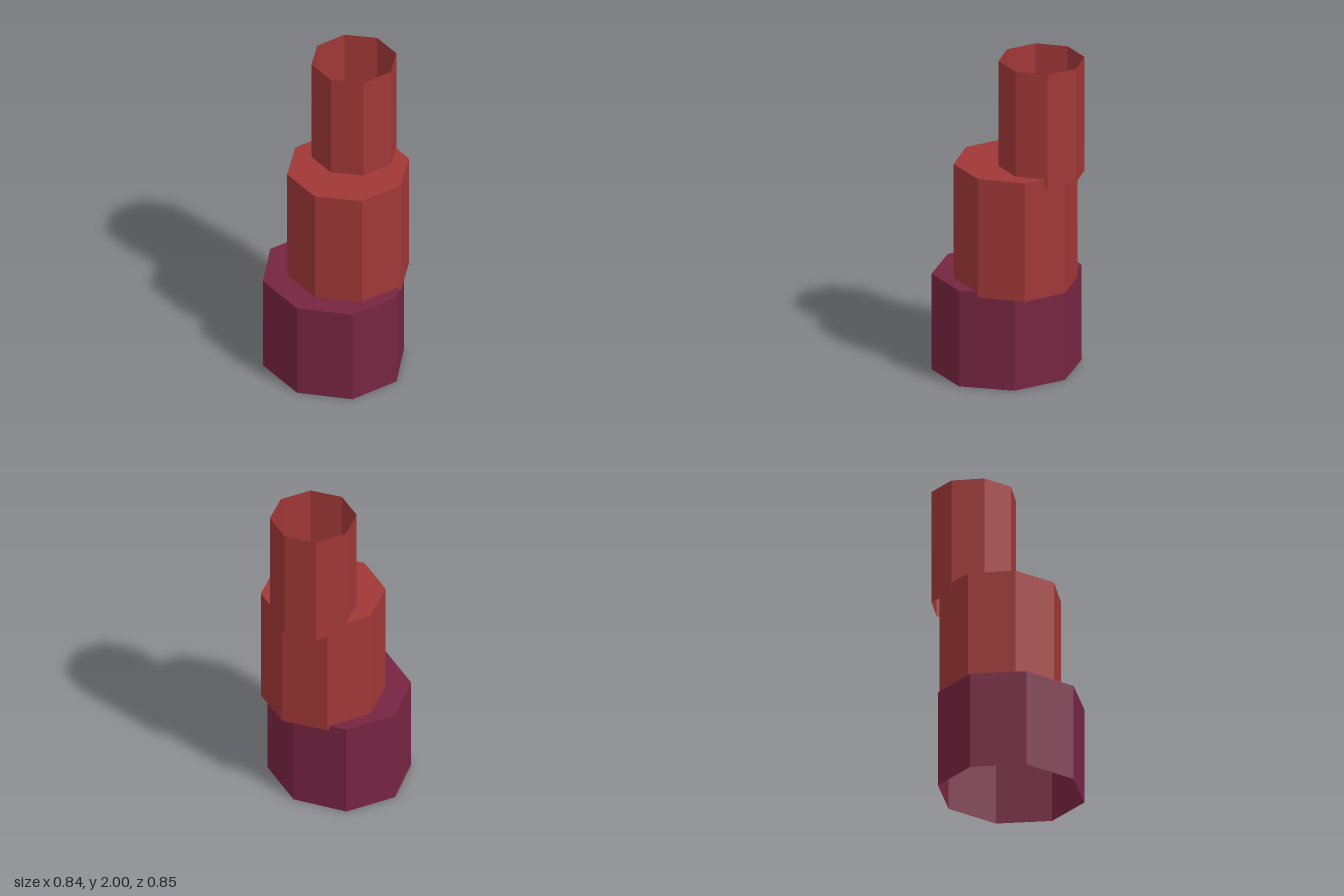
import * as THREE from 'three';

const red = new THREE.MeshStandardMaterial({ name: 'brick red', color: 0xa03737, flatShading: true, side: THREE.DoubleSide });
const plum = new THREE.MeshStandardMaterial({ name: 'dark plum', color: 0x762541, flatShading: true, side: THREE.DoubleSide });

// Octagonal tier with an open bottom and an optional lid; hx and hz are half widths across the flats
function tier(name, material, { x = 0, z, hx, hz, y0, y1, lid }) {
  const group = new THREE.Group();
  group.name = name;
  const k = 1 / Math.cos(Math.PI / 8);

  const wallGeometry = new THREE.CylinderGeometry(1, 1, y1 - y0, 8, 1, true);
  wallGeometry.rotateY(Math.PI / 8).scale(hx * k, 1, hz * k);
  const wall = new THREE.Mesh(wallGeometry, material);
  wall.name = name + 'Wall';
  wall.position.y = (y0 + y1) / 2;
  group.add(wall);

  if (lid) {
    const lidGeometry = new THREE.CircleGeometry(1, 8, Math.PI / 8);
    lidGeometry.rotateX(-Math.PI / 2).scale(hx * k, 1, hz * k);
    const top = new THREE.Mesh(lidGeometry, material);
    top.name = name + 'Lid';
    top.position.y = y1;
    group.add(top);
  }
  group.position.set(x, 0, z);
  return group;
}

export function createModel() {
  const model = new THREE.Group();
  model.name = 'steppedTower';
  model.add(
    tier('base', plum, { z: 0.038, hx: 0.42, hz: 0.388, y0: 0, y1: 0.608, lid: true }),
    tier('middle', red, { z: -0.069, hx: 0.342, hz: 0.342, y0: 0.58, y1: 1.333, lid: true }),
    // Top tube is open at both ends and overhangs the back
    tier('topTube', red, { x: -0.108, z: -0.188, hx: 0.237, hz: 0.238, y0: 1.277, y1: 2, lid: false }),
  );
  return model;
}
